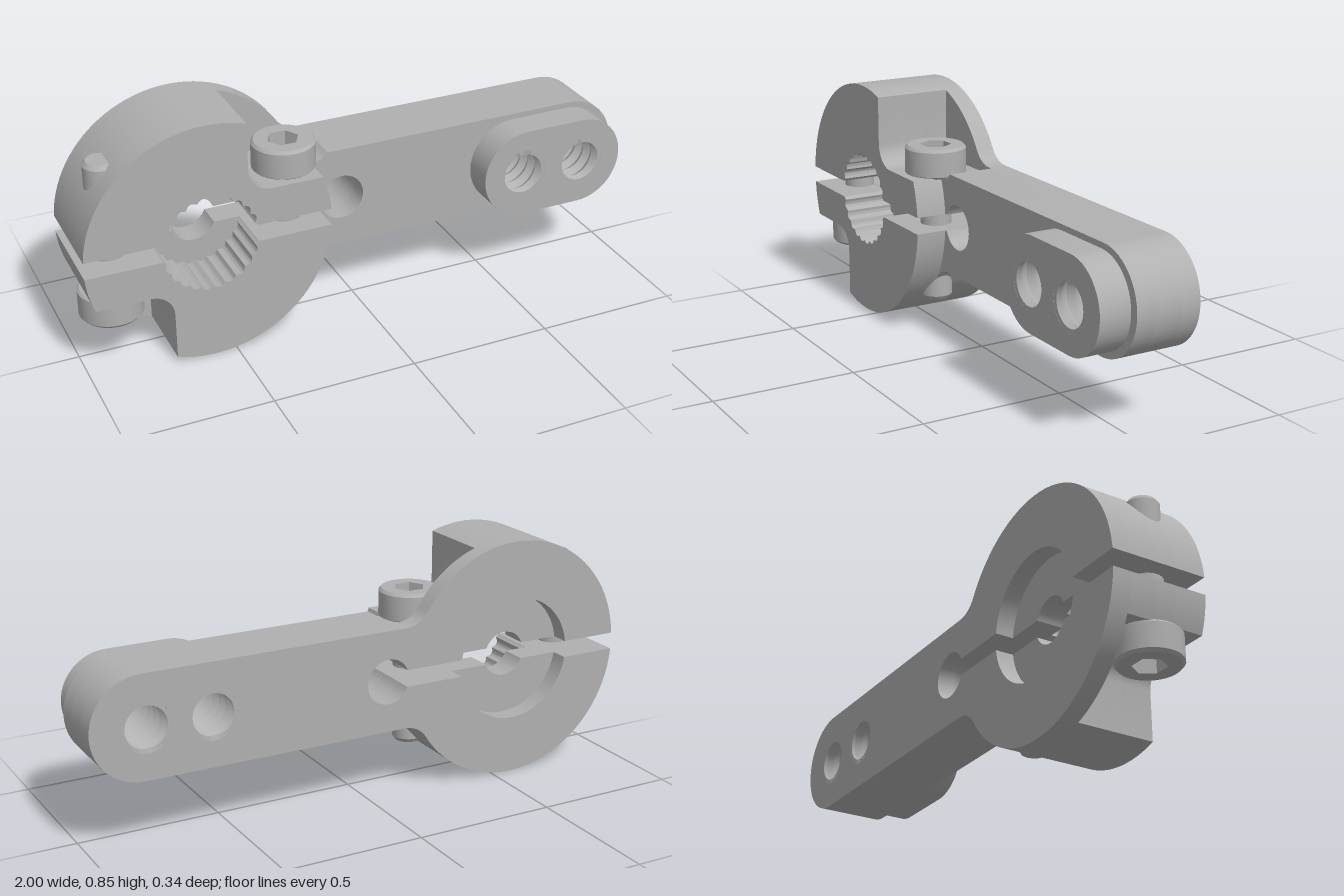
import * as THREE from 'three';
import { toCreasedNormals } from 'three/addons/utils/BufferGeometryUtils.js';
import { ParametricGeometry } from 'three/addons/geometries/ParametricGeometry.js';

const R = 0.425, SLOT = 0.03, ARM = 0.18, ARM_END = 1.395;   // hub radius, half slot, half arm, arm end centre
const NX = 0.135, NY = 0.155, NF = 0.08;                     // notch wall, floor and fillet
const HOLES = [1.155, 1.385];
const metal = new THREE.MeshStandardMaterial({ color: 0xb0b0b0, side: THREE.DoubleSide });
metal.name = 'grey metal';

// points along an arc; radius may be a function of the angle
function arc(cx, cy, r, a0, a1, n = 24) {
  return Array.from({ length: n + 1 }, (_, i) => {
    const a = a0 + (a1 - a0) * i / n, q = typeof r === 'function' ? r(a) : r;
    return new THREE.Vector2(cx + q * Math.cos(a), cy + q * Math.sin(a));
  });
}
const P = (x, y) => new THREE.Vector2(x, y);
const turn = pts => pts.map(p => P(-p.x, -p.y));
const spline = a => 0.158 + 0.012 * Math.abs(Math.sin(12 * a));

function mesh(name, geo, crease = 0.5) {
  const m = new THREE.Mesh(toCreasedNormals(geo, crease), metal);
  m.name = name;
  return m;
}

function plate(name, pts, z0, z1, holes = []) {
  const s = new THREE.Shape(pts);
  for (const [x, r] of holes) s.holes.push(new THREE.Path(arc(x, 0, r, 0, Math.PI * 2, 32).slice(0, -1)));
  const g = new THREE.ExtrudeGeometry(s, { depth: z1 - z0, bevelEnabled: false });
  g.translate(0, 0, z0);
  return mesh(name, g);
}

const sa = Math.asin(SLOT / R);
// hub edge from the slot over the top to the notch, then the notch wall and its fillet
const notchTop = [
  ...arc(0, 0, R, Math.PI - sa, Math.acos(NX / R), 28),
  ...arc(NX + NF, NY + NF, NF, Math.PI, Math.PI * 1.5, 8),
];

// bore edge from left to right over the bottom half
function boreLower(r, n) {
  const b = Math.asin(SLOT / (typeof r === 'function' ? 0.164 : r));
  return arc(0, 0, r, Math.PI + b, 2 * Math.PI - b, n);
}

// split ring and arm as one outline
function armOutline(notched, bore, n) {
  const fa = Math.atan2(0.28, 0.444);
  const fillet = arc(0.444, 0.28, 0.1, fa + Math.PI, Math.PI * 1.5, 8);
  const upper = notched
    ? [...notchTop, P(0.415, NY), P(0.44, 0.162), P(0.46, ARM)]
    : [...arc(0, 0, R, Math.PI - sa, fa, 40), ...fillet.slice(1)];
  const lowerFillet = fillet.map(p => P(p.x, -p.y)).reverse();
  const na = Math.asin(NY / R);
  const lower = notched
    ? [...arc(0, 0, R, -fa, -Math.acos(-NX / R), 20).slice(1),
      ...arc(-NX - NF, -NY - NF, NF, 0, Math.PI / 2, 8),
      ...arc(0, 0, R, Math.PI + na, Math.PI + sa, 6)]
    : arc(0, 0, R, -fa, -Math.PI + sa, 40).slice(1);
  const low = boreLower(bore, n), ra = Math.asin(SLOT / 0.08);
  return [
    ...upper, ...arc(ARM_END, 0, ARM, Math.PI / 2, -Math.PI / 2, 28), ...lowerFillet, ...lower,
    ...low, ...arc(0.51, 0, 0.08, Math.PI + ra, 3 * Math.PI - ra, 32), ...turn(low),
  ];
}

// front half ring, standing proud of the arm
const frontHalf = [
  ...notchTop,
  ...arc(0, 0, R, Math.asin(NY / R), sa, 8),
  ...turn(boreLower(spline, 144)),
];

// socket head screw: turned body, top face with a hexagon opening, socket walls and floor
function screw() {
  const g = new THREE.Group();
  g.name = 'clampScrew';
  const profile = [[0, -0.31], [0.045, -0.31], [0.056, -0.295], [0.056, 0.15], [0.1, 0.15],
    [0.108, 0.158], [0.108, 0.245], [0.099, 0.255]].map(p => P(...p));
  g.add(mesh('screwBody', new THREE.LatheGeometry(profile, 32)));
  const hex = arc(0, 0, 0.055, 0, Math.PI * 2, 6).slice(0, -1);
  const top = new THREE.Shape(arc(0, 0, 0.099, 0, Math.PI * 2, 32).slice(0, -1));
  top.holes.push(new THREE.Path(hex));
  g.add(mesh('screwTop', new THREE.ShapeGeometry(top).rotateX(-Math.PI / 2).translate(0, 0.255, 0)));
  g.add(mesh('socketFloor', new THREE.ShapeGeometry(new THREE.Shape(hex)).rotateX(-Math.PI / 2).translate(0, 0.195, 0)));
  const wall = new THREE.CylinderGeometry(0.055, 0.055, 0.06, 6, 1, true);
  g.add(mesh('socketWall', wall.rotateY(Math.PI / 2).translate(0, 0.225, 0)));
  g.position.set(0.31, 0, 0.035);
  return g;
}

// helical internal thread along z
function thread(x) {
  const pitch = 0.05, turns = 9;
  const g = new ParametricGeometry((u, v, t) => {
    const k = v * turns, a = -u * Math.PI * 2;
    const r = 0.073 + 0.016 * Math.abs(2 * (k % 1) - 1);
    const z = THREE.MathUtils.clamp(pitch * (k + u - 5), -0.1695, 0.1695);
    t.set(x + r * Math.cos(a), r * Math.sin(a), z);
  }, 32, turns * 2);
  return mesh('holeThread', g, 0.6);
}

export function createModel() {
  const model = new THREE.Group();
  model.name = 'clampArm';
  const holes = HOLES.map(x => [x, 0.088]);

  // arm and ring in three depths: rear recess, web, splined bore
  model.add(plate('rearPlate', armOutline(false, 0.22, 32), -0.17, -0.105, holes));
  model.add(plate('webPlate', armOutline(true, 0.08, 24), -0.105, -0.01, holes));
  model.add(plate('middlePlate', armOutline(true, spline, 144), -0.01, 0.06, holes));
  model.add(plate('upperFrontRing', frontHalf, 0.06, 0.17));
  model.add(plate('lowerFrontRing', turn(frontHalf), 0.06, 0.17));

  // raised pad around the threaded holes
  const pad = [...arc(1.165, 0, 0.16, Math.PI / 2, Math.PI * 1.5), ...arc(1.385, 0, 0.16, -Math.PI / 2, Math.PI / 2)];
  model.add(plate('armPad', pad, 0.06, 0.17, holes));
  for (const x of HOLES) model.add(thread(x));

  // two screws, one turned half round the hub
  model.add(screw());
  const opposite = new THREE.Group();
  opposite.name = 'oppositeScrew';
  opposite.rotation.z = Math.PI;
  opposite.add(screw());
  model.add(opposite);

  model.position.set(-0.575, 0.427, 0);
  const root = new THREE.Group();
  root.name = 'servoArm';
  root.add(model);
  return root;
}
